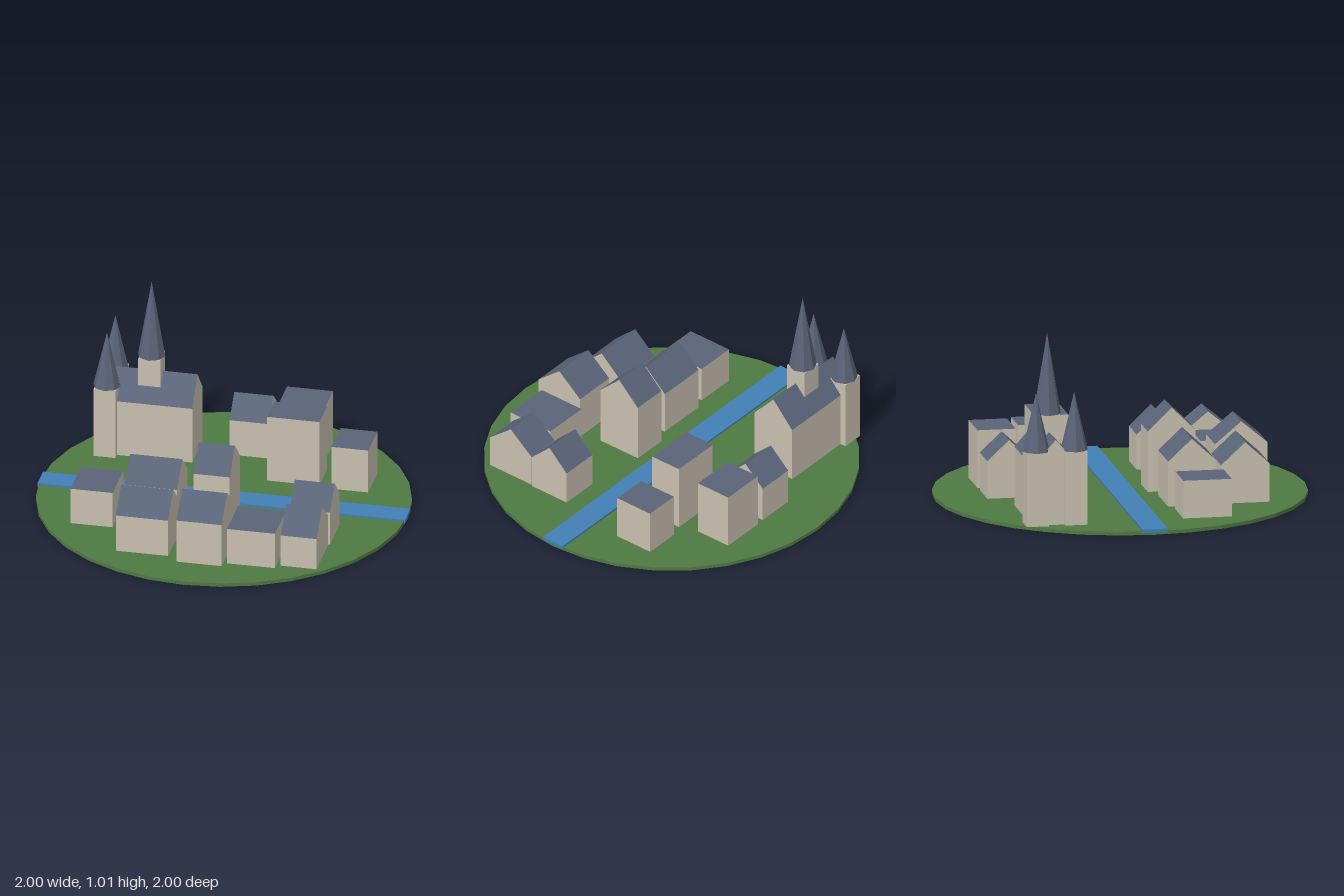
import * as THREE from 'three';

const material = (name, color) => {
  const m = new THREE.MeshStandardMaterial({ color });
  m.name = name;
  return m;
};

// Gives every facet its own normal
function faceted(geometry) {
  const g = geometry.toNonIndexed();
  g.computeVertexNormals();
  return g;
}

// Building solid: walls (group 0) and upward faces as roof (group 1); ridge runs along x
function houseGeometry(width, depth, eave, ridge) {
  const d = depth / 2;
  const shape = new THREE.Shape();
  shape.moveTo(-d, 0);
  shape.lineTo(d, 0);
  shape.lineTo(d, eave);
  if (ridge > eave) shape.lineTo(0, ridge);
  shape.lineTo(-d, eave);
  shape.closePath();
  const extruded = new THREE.ExtrudeGeometry(shape, { depth: width, bevelEnabled: false });
  extruded.translate(0, 0, -width / 2).rotateY(Math.PI / 2);
  const g = faceted(extruded);
  g.clearGroups();
  const normal = g.attributes.normal;
  for (let i = 0; i < normal.count; i += 3) {
    g.addGroup(i, 3, normal.getY(i) > 0.1 ? 1 : 0);
  }
  return g;
}

export function createModel() {
  const grass = material('grass', 0x4f7942);
  const water = material('water', 0x4280b6);
  const wall = material('stoneWall', 0xc8c0b0);
  const slate = material('slateRoof', 0x5a6478);
  const town = new THREE.Group();
  town.name = 'town';
  const GROUND = 0.02;

  const add = (parent, name, geometry, mat, x, y, z) => {
    const mesh = new THREE.Mesh(geometry, mat);
    mesh.name = name;
    mesh.position.set(x, y, z);
    parent.add(mesh);
    return mesh;
  };

  // Ground disc and river
  add(town, 'ground', faceted(new THREE.CylinderGeometry(1, 1, GROUND, 32)), grass, 0, GROUND / 2, 0);
  add(town, 'river', new THREE.BoxGeometry(2, 0.02, 0.135), water, 0, 0.021, 0);

  // Building from its footprint and the heights of eaves and ridge above y = 0
  const building = (parent, name, [x0, x1, z0, z1, eave, ridge = eave]) =>
    add(parent, name, houseGeometry(x1 - x0, z1 - z0, eave - GROUND, ridge - GROUND),
      [wall, slate], (x0 + x1) / 2, GROUND, (z0 + z1) / 2);

  // Houses: x range, z range, eaves, ridge (no ridge means a flat roof)
  const houses = [
    [-0.08, 0.134, -0.733, -0.497, 0.225, 0.335],
    [0.18, 0.43, -0.737, -0.53, 0.335],
    [0.18, 0.465, -0.428, -0.245, 0.4],
    [0.535, 0.735, -0.45, -0.225, 0.27],
    [-0.733, -0.503, 0.203, 0.465, 0.225],
    [-0.444, -0.16, 0.176, 0.433, 0.265, 0.385],
    [-0.08, 0.118, 0.135, 0.392, 0.35, 0.475],
    [0.45, 0.668, 0.176, 0.412, 0.21, 0.325],
    [-0.428, -0.144, 0.465, 0.727, 0.23, 0.35],
    [-0.086, 0.16, 0.497, 0.782, 0.265, 0.385],
    [0.18, 0.442, 0.47, 0.743, 0.225],
    [0.465, 0.66, 0.422, 0.708, 0.2, 0.318],
  ];
  houses.forEach((h, i) => building(town, `house${i + 1}`, h));

  // Church: nave, two west towers and a crossing tower, each with a pointed spire
  const church = new THREE.Group();
  church.name = 'church';
  town.add(church);
  building(church, 'nave', [-0.755, -0.253, -0.62, -0.363, 0.34, 0.483]);

  const tower = (name, x, z, base, top, tip) => {
    add(church, name + 'Tower', new THREE.BoxGeometry(0.12, top - base, 0.12), wall, x, (base + top) / 2, z);
    add(church, name + 'Spire', faceted(new THREE.ConeGeometry(0.074, tip - top, 8)), slate, x, (top + tip) / 2, z);
  };
  tower('backWest', -0.722, -0.593, GROUND, 0.42, 0.735);
  tower('frontWest', -0.722, -0.386, GROUND, 0.42, 0.735);
  tower('crossing', -0.502, -0.49, 0.36, 0.573, 1.012);

  return town;
}
